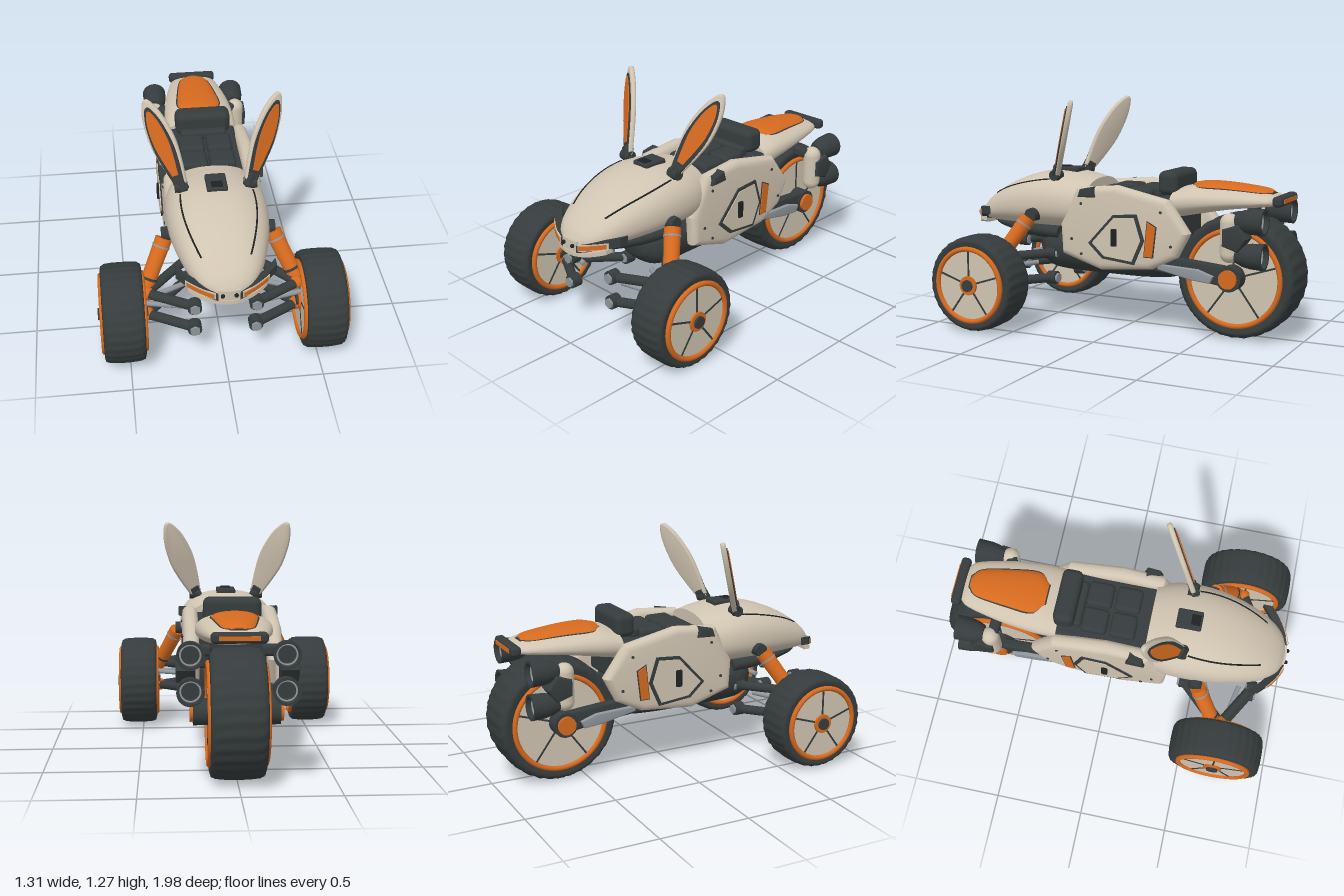
import * as THREE from 'three';
import { toCreasedNormals } from 'three/addons/utils/BufferGeometryUtils.js';
import { RoundedBoxGeometry } from 'three/addons/geometries/RoundedBoxGeometry.js';

const V = (x, y, z) => new THREE.Vector3(x, y, z);

// Lofted hull: sections are [z, top, bottom, halfWidth, widestY], z ascending
function skin(sections) {
  const a = new THREE.CatmullRomCurve3(sections.map(s => V(s[0], s[1], s[2])), false, 'catmullrom');
  const b = new THREE.CatmullRomCurve3(sections.map(s => V(s[3], s[4], 0)), false, 'catmullrom');
  return (t, ang, k = 1) => {
    const p = a.getPoint(t), q = b.getPoint(t), c = Math.cos(ang), s = Math.sin(ang);
    const pw = v => Math.sign(v) * Math.abs(v) ** 0.85;
    return V(q.x * pw(c) * k, q.y + pw(s) * (s > 0 ? p.y - q.y : q.y - p.z) * k, p.x);
  };
}
function loft(sections, rows = 28, n = 40) {
  const f = skin(sections), pos = [], idx = [];
  for (let i = -1; i <= rows + 1; i++) {
    const t = Math.min(Math.max(i / rows, 0), 1), k = i < 0 || i > rows ? 0.001 : 1;
    for (let j = 0; j < n; j++) pos.push(...f(t, (j / n) * Math.PI * 2, k).toArray());
  }
  for (let i = 0; i < rows + 2; i++) for (let j = 0; j < n; j++) {
    const a = i * n + j, b = i * n + (j + 1) % n;
    idx.push(a, b, a + n, b, b + n, a + n);
  }
  const g = new THREE.BufferGeometry();
  g.setAttribute('position', new THREE.Float32BufferAttribute(pos, 3));
  g.setIndex(idx);
  return toCreasedNormals(g, 0.9);
}
// Cylinder between two points
function rod(a, b, r0, r1 = r0, seg = 20) {
  const d = b.clone().sub(a), L = d.length();
  return new THREE.CylinderGeometry(r1, r0, L, seg).translate(0, L / 2, 0)
    .applyQuaternion(new THREE.Quaternion().setFromUnitVectors(V(0, 1, 0), d.normalize()))
    .translate(a.x, a.y, a.z);
}
// Plate outlined in (z, y) and extruded outward along x
function sidePlate(pts, x, depth, bevel = 0, thick = bevel) {
  const s = new THREE.Shape(pts.map(p => new THREE.Vector2(-p[0], p[1])));
  const g = new THREE.ExtrudeGeometry(s, { depth, bevelEnabled: bevel > 0, bevelSize: bevel,
    bevelThickness: thick, bevelOffset: -bevel, bevelSegments: 4 });
  return toCreasedNormals(g.rotateY(Math.PI / 2).translate(x, 0, 0), 0.45);
}
// Strip wrapped round the snout
function band(x0, x1, lo, hi, thick, out) {
  const g = new THREE.BoxGeometry(1, 1, 1, 24, 1, 1), p = g.attributes.position;
  for (let i = 0; i < p.count; i++) {
    const x = x0 + (x1 - x0) * (p.getX(i) + 0.5), z = p.getZ(i);
    p.setXYZ(i, x, p.getY(i) < 0 ? lo(x) : hi(x), 0.98 - 2 * x * x + out + (z - 0.5) * thick);
  }
  g.computeVertexNormals();
  return g;
}
function mirrored(geo) {
  const g = geo.clone().scale(-1, 1, 1);
  const i = g.index ? Array.from(g.index.array) : [...Array(g.attributes.position.count).keys()];
  for (let k = 0; k < i.length; k += 3) [i[k + 1], i[k + 2]] = [i[k + 2], i[k + 1]];
  return g.setIndex(i);
}
const rbox = (w, h, d, x, y, z, r = 0.02) => new RoundedBoxGeometry(w, h, d, 4, r).translate(x, y, z);

export function createModel() {
  const model = new THREE.Group();
  const mat = (name, color) => new THREE.MeshStandardMaterial({ name, color });
  const cream = mat('cream', 0xd0c4b1), dark = mat('charcoal', 0x363c3d), orange = mat('orange', 0xd66a1f);
  const grey = mat('steel', 0x8f959b), black = mat('black', 0x1e2223);
  const put = (name, m, geo, parent = model) => {
    const mesh = new THREE.Mesh(geo, m);
    mesh.name = name;
    parent.add(mesh);
  };
  const pair = (name, m, geo) => { put(name + 'Left', m, geo); put(name + 'Right', m, mirrored(geo)); };

  // Wheels
  function wheel(name, x, y, z, R, w, rimR, hub) {
    const g = new THREE.Group();
    g.name = name;
    const half = [[rimR - 0.01, 0.9], [R * 0.88, 1], [R * 0.95, 0.95], [R * 0.98, 0.8], [R * 0.995, 0.5], [R, 0.2]];
    const prof = [...half.map(p => [p[0], -p[1]]), ...half.slice().reverse()].map(p => new THREE.Vector2(p[0], p[1] * w));
    const tire = new THREE.LatheGeometry(prof, 120), p = tire.attributes.position;
    for (let i = 0; i < p.count; i++) {
      const r = Math.hypot(p.getX(i), p.getZ(i));
      if (r < R * 0.93) continue;
      const a = Math.atan2(p.getX(i), p.getZ(i)), k = 1 + 0.01 * (Math.sin(30 * a + 20 * Math.abs(p.getY(i)) / w) - 1);
      p.setXYZ(i, p.getX(i) * k, p.getY(i), p.getZ(i) * k);
    }
    tire.computeVertexNormals();
    put('tire', dark, tire.rotateZ(Math.PI / 2), g);
    put('rimDisc', cream, new THREE.CylinderGeometry(rimR - 0.01, rimR - 0.01, w * 2, 64).rotateZ(Math.PI / 2), g);
    for (const s of [-1, 1]) {
      put('rimRing', orange, new THREE.TorusGeometry(rimR - 0.012, 0.014, 10, 64).rotateY(Math.PI / 2).translate(s * w, 0, 0), g);
      for (let i = 0; i < 5; i++)
        put('spokeLine', dark, new THREE.BoxGeometry(0.006, rimR - 0.03, 0.01).translate(s * w, rimR / 2, 0)
          .rotateX(i * Math.PI * 0.4), g);
      if (!hub) continue;
      put('hubRing', orange, rod(V(0, 0, 0), V(s * (w + 0.012), 0, 0), 0.052, 0.052, 32), g);
      put('hubCap', dark, rod(V(0, 0, 0), V(s * (w + 0.024), 0, 0), 0.032, 0.032, 24), g);
    }
    g.position.set(x, y, z);
    model.add(g);
  }
  for (const s of [1, -1]) wheel(s > 0 ? 'frontWheelLeft' : 'frontWheelRight', s * 0.525, 0.265, 0.695, 0.264, 0.108, 0.212, true);
  wheel('rearWheel', 0, 0.335, -0.65, 0.337, 0.142, 0.27, false);

  // Nose hull with its seams
  const noseSections = [[0.2, 0.82, 0.54, 0.235, 0.66], [0.33, 0.845, 0.53, 0.265, 0.67], [0.46, 0.853, 0.53, 0.27, 0.67],
    [0.6, 0.83, 0.53, 0.256, 0.66], [0.74, 0.78, 0.533, 0.222, 0.64], [0.86, 0.71, 0.537, 0.175, 0.61],
    [0.93, 0.65, 0.545, 0.12, 0.59], [0.965, 0.6, 0.555, 0.055, 0.575]];
  put('nose', cream, loft(noseSections, 40));
  const ns = skin(noseSections), seam = [];
  for (let i = 0; i <= 12; i++) seam.push(ns(0.26 + i * 0.035, 0.8 + 0.3 * (i / 12 - 0.4) ** 2, 1.0));
  pair('noseSeam', black, new THREE.TubeGeometry(new THREE.CatmullRomCurve3(seam), 30, 0.005, 6));
  put('hoodPort', dark, rbox(0.11, 0.035, 0.14, 0, 0.853, 0.41, 0.01));
  put('hoodPortLid', black, rbox(0.06, 0.01, 0.05, 0, 0.871, 0.445, 0.004));

  // Face: sockets, lamps, lip and nostrils
  pair('eyeSocket', dark, band(0.055, 0.255, x => 0.54 + (x - 0.055) * 0.3, x => 0.58 + (x - 0.055) * 0.33, 0.05, 0));
  pair('eyeLampFrame', cream, band(0.068, 0.212, x => 0.553 + (x - 0.07) * 0.22, x => 0.589 + (x - 0.07) * 0.22, 0.008, 0.005));
  pair('eyeLamp', orange, band(0.075, 0.205, x => 0.559 + (x - 0.07) * 0.22, x => 0.583 + (x - 0.07) * 0.22, 0.008, 0.009));
  put('lip', cream, band(-0.2, 0.2, x => 0.517 + 0.9 * x * x, x => 0.54 + 0.9 * x * x, 0.04, 0));
  put('snout', cream, band(-0.056, 0.056, () => 0.53, () => 0.6, 0.04, -0.004));
  pair('nostril', black, new THREE.SphereGeometry(0.011, 12, 8).translate(0.034, 0.575, 0.981));

  // Ears: cupped blade, dark liner, orange inner face
  const d = V(0.175, 0.435, -0.19).normalize(), n = V(0.4, 0, 1);
  n.addScaledVector(d, -n.dot(d)).normalize();
  const earFrame = new THREE.Matrix4().makeBasis(d.clone().cross(n), d, n).setPosition(0.178, 0.835, 0.405);
  function blade(sx, sy, y0, z, depth, bevel) {
    const pts = [[0.03, 0], [0.06, 0.14], [0.074, 0.26], [0.06, 0.39], [0.028, 0.475], [0, 0.5]];
    const all = [...pts, ...pts.slice(0, -1).reverse().map(p => [-p[0], p[1]])].map(p => new THREE.Vector2(p[0] * sx, p[1] * sy + y0));
    const s = new THREE.Shape().moveTo(all[0].x, all[0].y);
    s.splineThru(all.slice(1));
    const g = new THREE.ExtrudeGeometry(s, { depth, curveSegments: 36, bevelEnabled: bevel > 0,
      bevelSize: bevel, bevelThickness: bevel, bevelOffset: -bevel, bevelSegments: 3 });
    return toCreasedNormals(g.translate(0, 0, z).applyMatrix4(earFrame), 0.7);
  }
  pair('ear', cream, blade(1, 1, 0, -0.012, 0.008, 0.01));
  pair('earLiner', dark, blade(0.8, 0.92, 0, 0.006, 0.006, 0));
  pair('earInner', orange, blade(0.6, 0.73, 0.075, 0.012, 0.005, 0));
  pair('earSocket', dark, rbox(0.062, 0.08, 0.05, 0, 0.02, 0, 0.012).applyMatrix4(earFrame));
  pair('earPivot', dark, rod(V(0.15, 0.838, 0.4), V(0.215, 0.838, 0.4), 0.03));

  // Belly and frame core
  put('belly', dark, loft([[-0.34, 0.5, 0.36, 0.12, 0.44], [-0.28, 0.54, 0.295, 0.165, 0.44], [-0.1, 0.55, 0.275, 0.185, 0.44],
    [0.2, 0.55, 0.275, 0.185, 0.44], [0.4, 0.54, 0.28, 0.185, 0.43], [0.49, 0.53, 0.3, 0.165, 0.42], [0.55, 0.48, 0.36, 0.1, 0.42]]));
  put('chin', dark, loft([[0.4, 0.56, 0.45, 0.19, 0.51], [0.6, 0.56, 0.46, 0.17, 0.52], [0.8, 0.56, 0.5, 0.13, 0.54], [0.88, 0.56, 0.53, 0.08, 0.55]]));
  put('frameCore', dark, rbox(0.38, 0.24, 0.6, 0, 0.63, -0.03));

  // Seat
  put('backrest', dark, rbox(0.31, 0.13, 0.115, 0, 0.822, -0.265, 0.035).translate(0, 0, 0));
  put('seatRoll', dark, rbox(0.26, 0.06, 0.06, 0, 0.77, -0.2, 0.02));
  for (const z of [-0.1, 0.06]) pair('seatCushion', dark, rbox(0.142, 0.07, 0.145, 0.077, 0.755, z, 0.025));

  // Side panels with hatch, slash lamp, vent and rivets
  pair('sidePanel', cream, sidePlate([[0.34, 0.576], [0.233, 0.785], [-0.008, 0.807], [-0.313, 0.743], [-0.437, 0.571],
    [-0.367, 0.437], [-0.217, 0.362], [0.09, 0.335], [0.33, 0.41]], 0.215, 0.012, 0.04, 0.036));
  const hatch = [[0, 0.65], [-0.14, 0.66], [-0.185, 0.52], [-0.125, 0.385], [0.067, 0.405], [0.153, 0.485]];
  pair('hatchFrame', dark, sidePlate(hatch, 0.25, 0.021));
  pair('hatch', cream, sidePlate(hatch.map(([z, y]) => [-0.035 + (z + 0.035) * 0.87, 0.52 + (y - 0.52) * 0.87]), 0.255, 0.02));
  pair('hatchHandle', black, rbox(0.02, 0.095, 0.034, 0.277, 0.527, -0.008, 0.006));
  pair('slashFrame', dark, sidePlate([[-0.2, 0.63], [-0.258, 0.6], [-0.238, 0.43], [-0.18, 0.43]], 0.25, 0.0155));
  pair('slashLamp', orange, sidePlate([[-0.205, 0.622], [-0.252, 0.597], [-0.232, 0.436], [-0.186, 0.436]], 0.255, 0.016));
  pair('panelVent', dark, sidePlate([[0.215, 0.735], [0.2, 0.78], [0.125, 0.795], [0.11, 0.74]], 0.225, 0.05, 0.008));
  for (const [z, y] of [[0.26, 0.5], [0.2, 0.7], [-0.28, 0.68], [-0.34, 0.5], [0.2, 0.42]])
    pair('rivet', dark, rod(V(0.24, y, z), V(0.268, y, z), 0.008, 0.008, 10));

  // Tail with pad and lamp bar
  put('tail', cream, loft([[-0.86, 0.765, 0.725, 0.1, 0.745], [-0.8, 0.79, 0.715, 0.14, 0.745], [-0.6, 0.812, 0.69, 0.185, 0.74],
    [-0.42, 0.818, 0.655, 0.203, 0.73], [-0.3, 0.795, 0.63, 0.2, 0.72]]));
  const pad = (g, dy) => loft([[-0.82 - g, 0.798 + dy, 0.74, 0.045 + g, 0.76], [-0.77, 0.812 + dy, 0.74, 0.088 + g, 0.77], [-0.6, 0.829 + dy, 0.75, 0.118 + g, 0.783],
    [-0.45, 0.833 + dy, 0.75, 0.13 + g, 0.787], [-0.385 + g, 0.825 + dy, 0.75, 0.075 + g, 0.79]]);
  put('tailPadTrim', dark, pad(0.007, -0.008));
  put('tailPad', orange, pad(0, 0));
  put('tailLampBar', dark, rbox(0.28, 0.055, 0.055, 0, 0.755, -0.88));
  put('tailLamp', orange, new THREE.BoxGeometry(0.2, 0.022, 0.006).translate(0, 0.755, -0.909));

  // Exhaust pods and flared cans
  pair('exhaustPod', cream, new THREE.CapsuleGeometry(0.05, 0.16, 8, 24).translate(0.245, 0.57, -0.665));
  const penta = [0, 1, 2, 3, 4].map(i => [-0.705 - 0.075 * Math.cos(i * 1.2566), 0.578 + 0.075 * Math.sin(i * 1.2566)]);
  pair('exhaustPlate', dark, sidePlate(penta, 0.22, 0.078, 0.01));
  pair('exhaustBracket', dark, rbox(0.12, 0.06, 0.06, 0.185, 0.66, -0.65));
  const can = [[0, 0], [0.04, 0], [0.058, 0.04], [0.066, 0.08], [0.07, 0.155], [0.057, 0.155], [0.05, 0.06], [0, 0.06]].map(p => new THREE.Vector2(...p));
  for (const y of [0.662, 0.482]) {
    pair('exhaustCan', dark, toCreasedNormals(new THREE.LatheGeometry(can, 32), 0.6).rotateX(-Math.PI / 2).translate(0.237, y, -0.7));
    pair('exhaustLiner', grey, new THREE.TorusGeometry(0.05, 0.005, 8, 28).translate(0.237, y, -0.825));
  }

  // Swing arm and rear axle
  pair('swingArm', dark, sidePlate([[-0.1, 0.45], [-0.45, 0.425], [-0.62, 0.41], [-0.68, 0.35], [-0.62, 0.3], [-0.45, 0.325], [-0.1, 0.36]], 0.175, 0.03, 0.012));
  pair('swingArmPlate', grey, sidePlate([[-0.25, 0.395], [-0.48, 0.385], [-0.57, 0.355], [-0.55, 0.315], [-0.44, 0.325], [-0.25, 0.365]], 0.2, 0.03, 0.006));
  pair('axleHousing', dark, rod(V(0.1, 0.345, -0.65), V(0.222, 0.345, -0.65), 0.068, 0.068, 28));
  pair('axleCap', orange, rod(V(0.15, 0.345, -0.65), V(0.238, 0.345, -0.65), 0.05, 0.05, 28));

  // Front suspension
  for (const y of [0.388, 0.245]) {
    const out = V(0.4, y - 0.008, 0.69);
    for (const [z, s] of [[0.83, 1], [0.44, -1]]) {
      pair('controlArm', dark, rod(V(0.16, y, z), out, 0.026, 0.026));
      pair('armPivot', dark, rod(V(0.16, y, z - s * 0.03), V(0.16, y, z + s * 0.025), 0.037));
      pair('armBolt', grey, rod(V(0.16, y, z - s * 0.035), V(0.16, y, z + s * 0.037), 0.028, 0.028, 6));
    }
    pair('armKnuckle', orange, new THREE.SphereGeometry(0.036, 20, 14).translate(0.395, y - 0.008, 0.69));
  }
  pair('tieRod', grey, rod(V(0.15, 0.322, 0.76), V(0.42, 0.322, 0.7), 0.014));
  pair('tieRodRear', grey, rod(V(0.15, 0.322, 0.55), V(0.42, 0.322, 0.68), 0.014));
  const top = V(0.272, 0.635, 0.505), foot = V(0.405, 0.37, 0.655), at = t => top.clone().lerp(foot, t);
  pair('shockBody', orange, rod(at(0.12), at(1), 0.045, 0.04, 24));
  pair('shockCollar', grey, rod(at(0.24), at(0.27), 0.047, 0.047, 24));
  pair('shockFootCollar', dark, rod(at(0.78), at(0.82), 0.044, 0.044, 24));
  pair('shockMount', dark, rod(V(0.2, 0.62, 0.505), V(0.3, 0.62, 0.505), 0.04, 0.036));
  return model;
}
